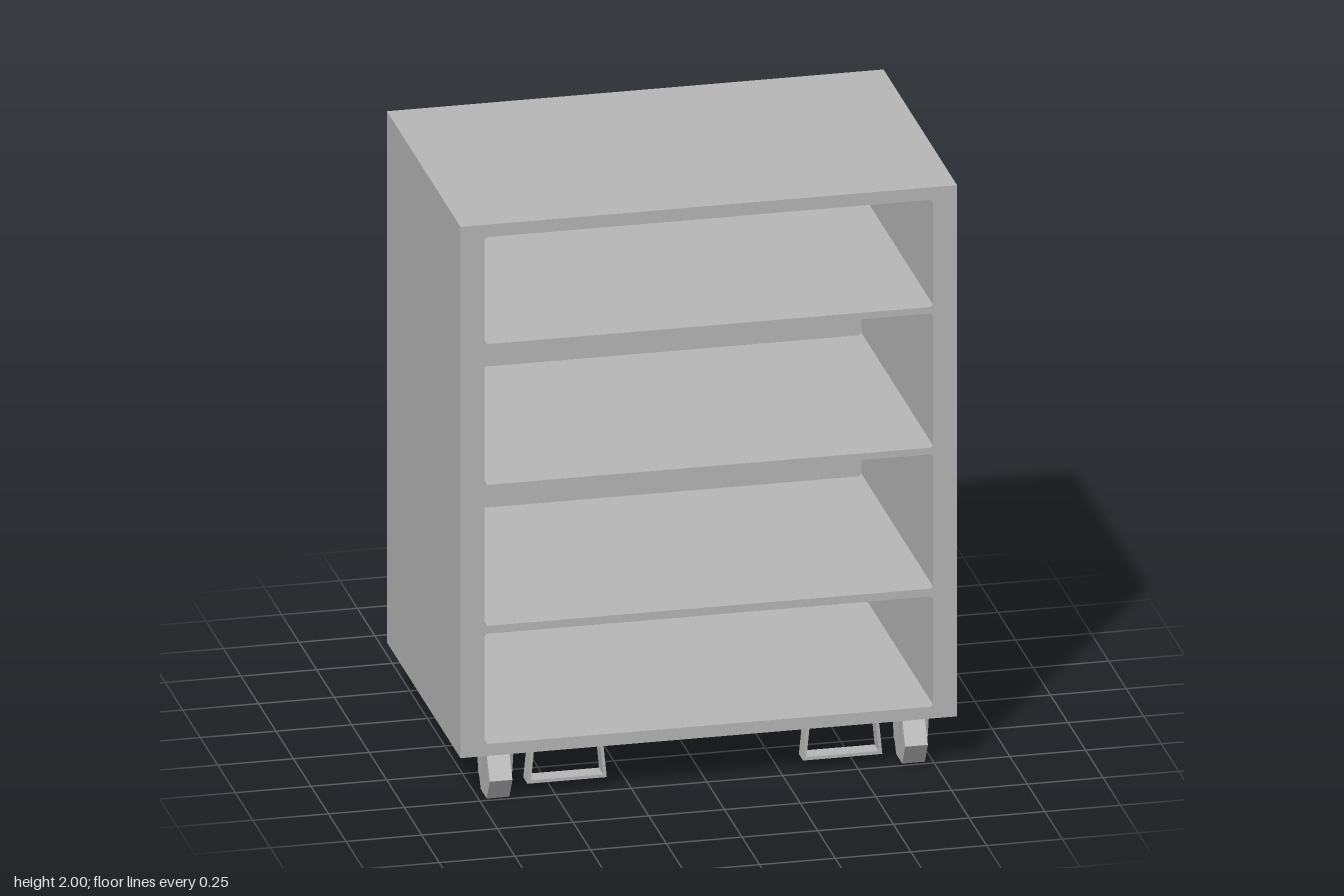
import * as THREE from 'three';

const grey = new THREE.MeshStandardMaterial({ color: 0xb8b8b8 });
grey.name = 'grey';

function add(parent, name, geometry, x = 0, y = 0, z = 0) {
  const mesh = new THREE.Mesh(geometry, grey);
  mesh.name = name;
  mesh.position.set(x, y, z);
  parent.add(mesh);
  return mesh;
}

const polygon = (points) => new THREE.Shape(points.map(([x, y]) => new THREE.Vector2(x, y)));

// extrusion centred on its depth
function prism(shape, depth) {
  return new THREE.ExtrudeGeometry(shape, { depth, bevelEnabled: false }).translate(0, 0, -depth / 2);
}

// rectangle with small cut corners
function opening(halfWidth, bottom, top, c = 0.008) {
  const w = halfWidth;
  return polygon([
    [-w + c, bottom], [w - c, bottom], [w, bottom + c], [w, top - c],
    [w - c, top], [-w + c, top], [-w, top - c], [-w, bottom + c],
  ]);
}

const W = 0.82, D = 0.525, BASE = 0.165, FLOOR = 0.198, BACK = 0.03;

function makeCabinet() {
  const cabinet = new THREE.Group();
  cabinet.name = 'cabinet';

  // case with four open compartments
  const outline = polygon([[-W, FLOOR], [W, FLOOR], [W, 2], [-W, 2]]);
  for (const [bottom, top] of [[0.206, 0.587], [0.614, 1.078], [1.101, 1.564], [1.587, 1.957]]) {
    outline.holes.push(opening(0.74, bottom, top));
  }
  add(cabinet, 'shelfCase', prism(outline, 2 * D - BACK), 0, 0, BACK / 2);
  add(cabinet, 'backPanel', new THREE.BoxGeometry(2 * W, 2 - FLOOR, BACK), 0, (2 + FLOOR) / 2, -D + BACK / 2);

  // skirt around the recessed underside
  const t = 0.015, h = FLOOR - BASE, y = BASE + h / 2;
  for (const s of [-1, 1]) {
    add(cabinet, 'skirtSide', new THREE.BoxGeometry(t, h, 2 * D), s * (W - t / 2), y, 0);
    add(cabinet, 'skirtEnd', new THREE.BoxGeometry(2 * (W - t), h, t), 0, y, s * (D - t / 2));
  }
  return cabinet;
}

function makeCaster() {
  const caster = new THREE.Group();
  caster.name = 'caster';

  // six-sided wheel resting on a flat
  const wheel = new THREE.CylinderGeometry(0.086, 0.086, 0.075, 6).toNonIndexed();
  wheel.rotateZ(Math.PI / 2);
  wheel.computeVertexNormals();
  add(caster, 'wheel', wheel, 0, 0.0755, 0);

  // tapered fork cheeks and top plate
  const cheek = prism(polygon([[-0.032, 0.06], [0.032, 0.06], [0.056, 0.165], [0.056, FLOOR], [-0.056, FLOOR], [-0.056, 0.165]]), 0.007);
  cheek.rotateY(Math.PI / 2);
  for (const s of [-1, 1]) add(caster, 'forkCheek', cheek, s * 0.0445, 0, 0);
  add(caster, 'forkPlate', new THREE.BoxGeometry(0.09, 0.02, 0.11), 0, 0.177, 0);
  return caster;
}

// splayed strap loop
function makeStrap() {
  return prism(polygon([
    [-0.115, FLOOR], [-0.131, 0.035], [0.131, 0.035], [0.115, FLOOR],
    [0.105, FLOOR], [0.119, 0.046], [-0.119, 0.046], [-0.105, FLOOR],
  ]), 0.06);
}

export function createModel() {
  const model = new THREE.Group();
  model.name = 'rollingShelf';
  model.add(makeCabinet());

  // a caster and a strap near every corner
  const strap = makeStrap();
  for (const sx of [-1, 1]) {
    for (const sz of [-1, 1]) {
      const caster = makeCaster();
      caster.position.set(sx * 0.686, 0, sz * 0.44);
      model.add(caster);
      add(model, 'strapLoop', strap, sx * 0.455, 0, sz * 0.44);
    }
  }
  return model;
}
